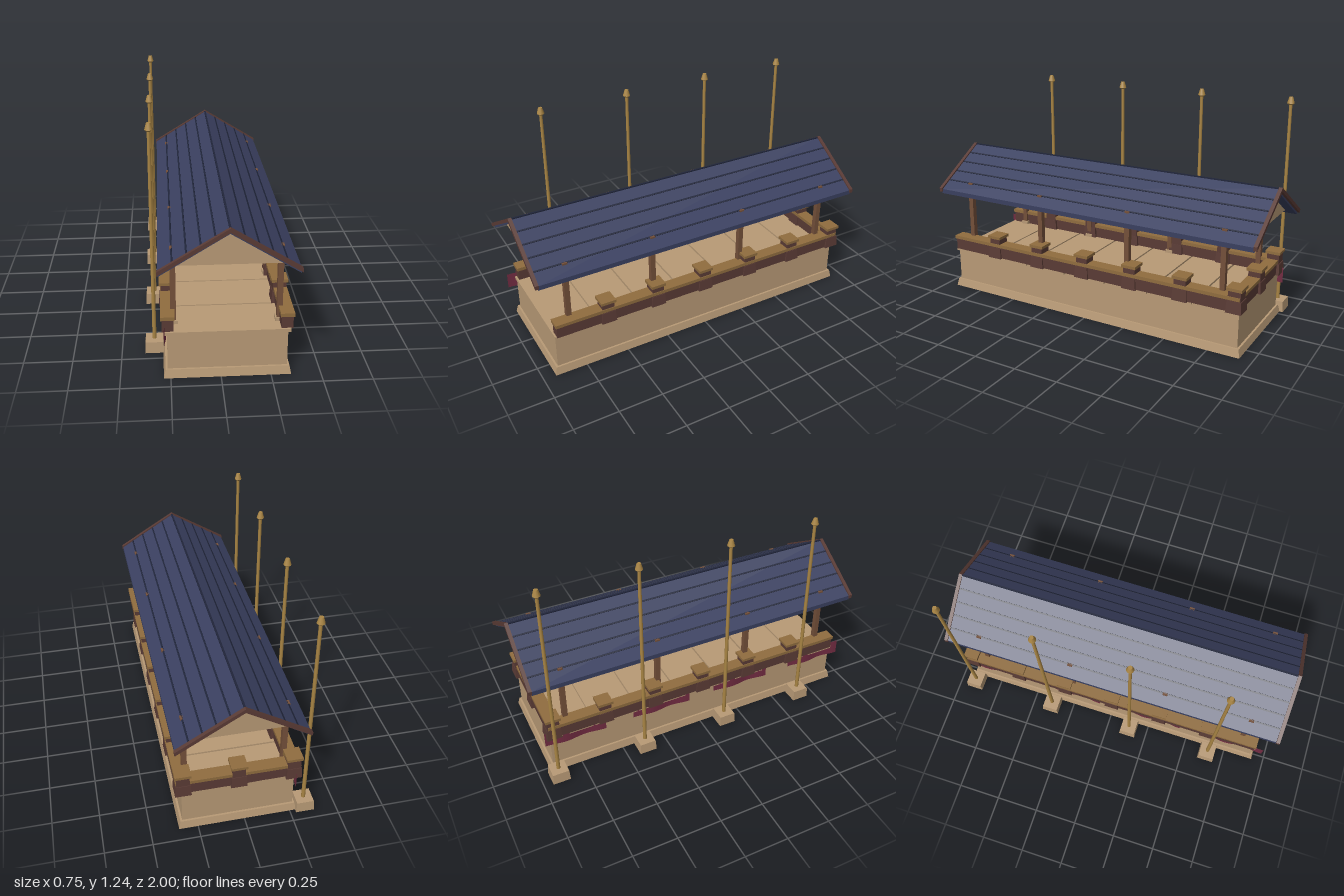
import * as THREE from 'three';

const mat = (name, color, side = THREE.FrontSide) => {
  const m = new THREE.MeshStandardMaterial({ color, side });
  m.name = name;
  return m;
};

export function createModel() {
  const sand = mat('sandstone', 0xb89a76);
  const darkWood = mat('dark wood', 0x5a3b35);
  const postWood = mat('post wood', 0x74503a);
  const capWood = mat('cap wood', 0x906d3f);
  const brass = mat('brass', 0xa98544);
  const navy = mat('navy roof', 0x3a4060);
  const seamNavy = mat('roof seam', 0x20253a);
  const crimson = mat('crimson cloth', 0x732c42, THREE.DoubleSide);

  const model = new THREE.Group();
  const CX = 0.033; // centre line of the building

  const add = (name, geo, material, x = 0, y = 0, z = 0, parent = model) => {
    const m = new THREE.Mesh(geo, material);
    m.name = name;
    m.position.set(x, y, z);
    parent.add(m);
    return m;
  };
  // Box from min/max extents
  const box = (name, material, x0, x1, y0, y1, z0, z1, parent) =>
    add(name, new THREE.BoxGeometry(x1 - x0, y1 - y0, z1 - z0), material,
      (x0 + x1) / 2, (y0 + y1) / 2, (z0 + z1) / 2, parent);
  // Box with its top face drawn inwards by an inset
  const taper = (name, material, w, h, d, inset, x, y, z, parent) => {
    const g = new THREE.BoxGeometry(w, h, d);
    const p = g.attributes.position;
    for (let i = 0; i < p.count; i++) {
      if (p.getY(i) > 0) {
        p.setX(i, p.getX(i) - Math.sign(p.getX(i)) * inset);
        p.setZ(i, p.getZ(i) - Math.sign(p.getZ(i)) * inset);
      }
    }
    g.computeVertexNormals();
    return add(name, g, material, x, y + h / 2, z, parent);
  };

  // Stone platform
  taper('plinth', sand, 0.636, 0.045, 1.86, 0.009, CX, 0, 0);
  box('platformBody', sand, -0.265, 0.331, 0.045, 0.236, -0.91, 0.91);
  const pitch = 1.84 / 7;
  for (let i = 0; i < 7; i++) {
    const z = -0.92 + i * pitch;
    box('floorSlab', sand, -0.28, 0.346, 0.234, 0.252, z + 0.005, z + pitch - 0.005);
  }

  // Low parapet on both long sides and the back
  const rail = (x0, x1, z0, z1) => {
    box('parapetWall', darkWood, x0, x1, 0.25, 0.316, z0, z1);
    box('parapetCap', capWood, x0 - 0.006, x1 + 0.006, 0.316, 0.335, z0 - 0.006, z1 + 0.006);
  };
  rail(-0.29, -0.232, -0.915, 0.905);
  rail(0.298, 0.356, -0.915, 0.905);
  rail(-0.232, 0.298, -0.915, -0.857);

  const pier = (x, z) => {
    const g = new THREE.Group();
    g.name = 'parapetPier';
    g.position.set(x, 0, z);
    model.add(g);
    taper('pierBase', darkWood, 0.086, 0.064, 0.086, 0.005, 0, 0.247, 0, g);
    taper('pierShaft', darkWood, 0.07, 0.06, 0.07, 0.001, 0, 0.31, 0, g);
    box('pierCap', capWood, -0.043, 0.043, 0.367, 0.383, -0.043, 0.043, g);
  };
  for (let i = 0; i < 6; i++) {
    for (const s of [-1, 1]) pier(CX + s * 0.291, 0.61 - i * 0.3);
  }
  pier(CX, -0.888);

  // Timber frames carrying the roof
  for (const z of [0.815, 0.315, -0.25, -0.805]) {
    for (const s of [-1, 1]) {
      const x = CX + s * 0.265;
      box('post', postWood, x - 0.014, x + 0.014, 0.25, 0.665, z - 0.014, z + 0.014);
      box('postFooting', sand, x - 0.022, x + 0.022, 0.25, 0.27, z - 0.022, z + 0.022);
    }
    box('tieBeam', postWood, CX - 0.27, CX + 0.27, 0.606, 0.628, z - 0.012, z + 0.012);
  }

  // Roof shells share one chevron cross-section
  const chevron = (name, material, half, ridge, eave, t, z0, z1) => {
    const s = new THREE.Shape([
      [-half, eave], [-half, eave - t], [0, ridge - t],
      [half, eave - t], [half, eave], [0, ridge],
    ].map(([x, y]) => new THREE.Vector2(x, y)));
    const g = new THREE.ExtrudeGeometry(s, { depth: z1 - z0, bevelEnabled: false });
    add(name, g, material, CX, 0, z0);
  };
  const HALF = 0.336, RIDGE = 0.829, EAVE = 0.62;
  chevron('roof', navy, HALF, RIDGE, EAVE, 0.026, -0.984, 0.984);
  chevron('frontBargeBoard', darkWood, 0.341, 0.836, 0.626, 0.022, 0.98, 1.0);
  chevron('backBargeBoard', darkWood, 0.341, 0.836, 0.626, 0.022, -1.0, -0.98);
  box('ridgeSeam', seamNavy, CX - 0.005, CX + 0.005, 0.824, 0.832, -0.98, 0.98);

  // Seams between the roof boards
  const slope = Math.atan2(RIDGE - EAVE, HALF);
  for (const s of [-1, 1]) {
    for (const f of [0.2, 0.4, 0.6, 0.8]) {
      const seam = add('roofSeam', new THREE.BoxGeometry(0.009, 0.005, 1.96), seamNavy,
        CX + s * HALF * f, RIDGE - (RIDGE - EAVE) * f, 0);
      seam.rotation.z = -s * slope;
    }
  }

  // Gable panels
  const tri = new THREE.Shape([
    new THREE.Vector2(-0.295, 0.622), new THREE.Vector2(0.295, 0.622), new THREE.Vector2(0, 0.806),
  ]);
  for (const z of [-0.93, 0.91]) {
    add('gable', new THREE.ExtrudeGeometry(tri, { depth: 0.02, bevelEnabled: false }), sand, CX, 0, z);
  }

  // Banner poles with stone feet and hanging cloths
  for (const z of [0.65, 0.135, -0.38, -0.9]) {
    taper('poleFoot', sand, 0.1, 0.062, 0.1, 0.004, -0.33, 0, z);
    add('pole', new THREE.CylinderGeometry(0.009, 0.011, 1.15, 10), brass, -0.33, 0.625, z);
    add('finialBase', new THREE.CylinderGeometry(0.02, 0.014, 0.008, 10), brass, -0.33, 1.198, z);
    add('finial', new THREE.CylinderGeometry(0.011, 0.021, 0.034, 10), brass, -0.33, 1.218, z);

    const cloth = new THREE.PlaneGeometry(0.35, 0.09, 16, 1);
    cloth.rotateY(-Math.PI / 2);
    const p = cloth.attributes.position;
    for (let i = 0; i < p.count; i++) p.setX(i, 0.006 * Math.sin(p.getZ(i) * 28));
    cloth.computeVertexNormals();
    add('banner', cloth, crimson, -0.275, 0.232, z + 0.135);
  }

  return model;
}
